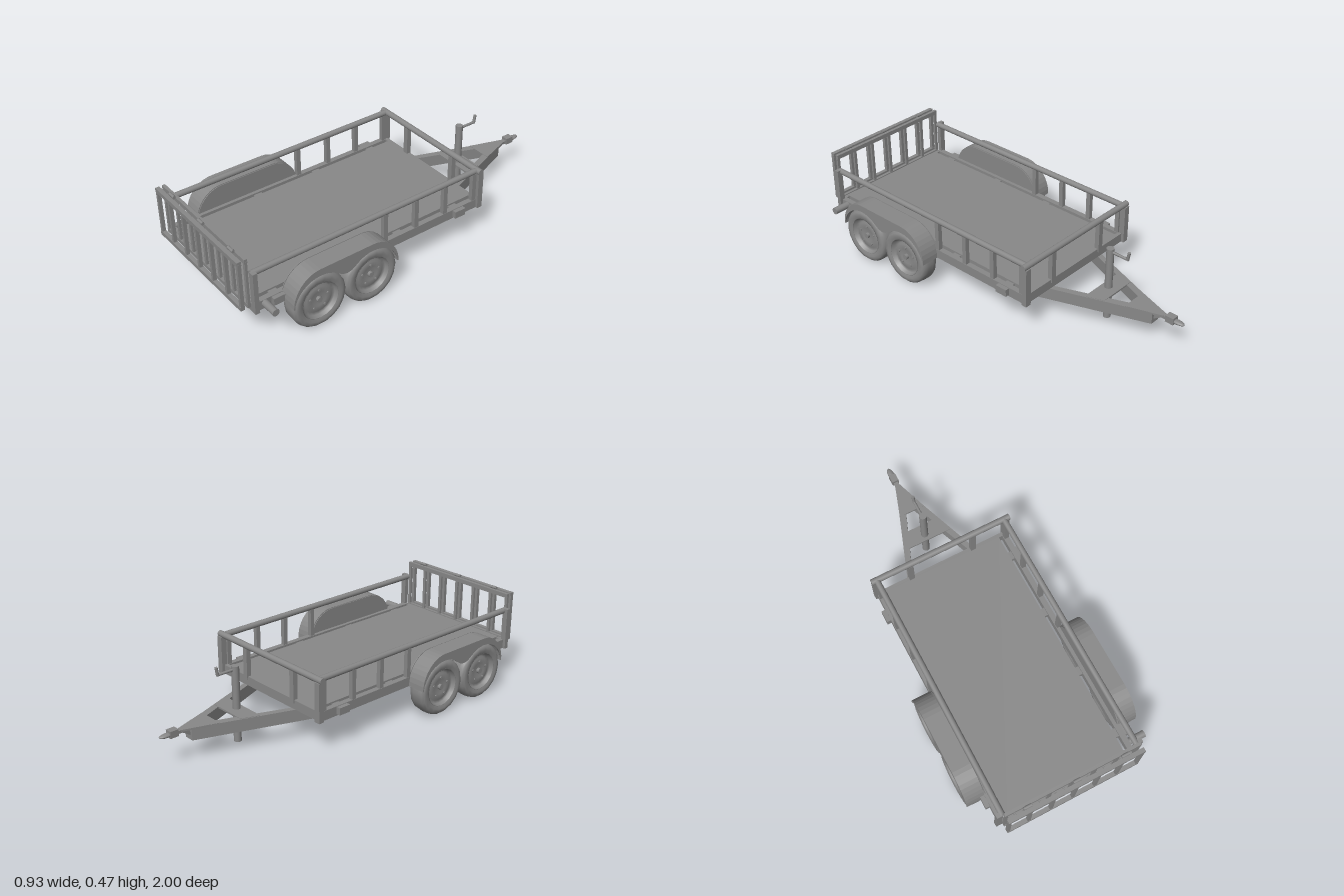
import * as THREE from 'three';

const color = 0x888888;
const smooth = new THREE.MeshStandardMaterial({ color });
const flat = new THREE.MeshStandardMaterial({ color, flatShading: true });
const open = new THREE.MeshStandardMaterial({ color, side: THREE.DoubleSide });

function add(parent, name, geo, m = flat) {
  const mesh = new THREE.Mesh(geo, m);
  mesh.name = name;
  parent.add(mesh);
  return mesh;
}

// box given by its limits on each axis
function box(parent, name, x0, x1, y0, y1, z0, z1) {
  const g = new THREE.BoxGeometry(Math.abs(x1 - x0), y1 - y0, z1 - z0);
  g.translate((x0 + x1) / 2, (y0 + y1) / 2, (z0 + z1) / 2);
  return add(parent, name, g);
}

// round bar between two points
function rod(parent, name, a, b, r, sides = 12) {
  const A = new THREE.Vector3(...a), B = new THREE.Vector3(...b);
  const g = new THREE.CylinderGeometry(r, r, A.distanceTo(B), sides);
  const mesh = add(parent, name, g, smooth);
  mesh.position.copy(A).add(B).multiplyScalar(0.5);
  mesh.quaternion.setFromUnitVectors(new THREE.Vector3(0, 1, 0), B.sub(A).normalize());
  return mesh;
}

// extrusion of a plan outline of [x, z] points between two heights
function plan(parent, name, pts, y0, y1) {
  const s = new THREE.Shape(pts.map(([x, z]) => new THREE.Vector2(x, -z)));
  const g = new THREE.ExtrudeGeometry(s, { depth: y1 - y0, bevelEnabled: false });
  g.rotateX(-Math.PI / 2).translate(0, y0, 0);
  return add(parent, name, g);
}

// extrusion of a side outline of [z, y] points between two x values
function side(parent, name, pts, xa, xb) {
  const s = new THREE.Shape(pts.map(([z, y]) => new THREE.Vector2(-z, y)));
  const g = new THREE.ExtrudeGeometry(s, { depth: Math.abs(xb - xa), bevelEnabled: false });
  g.rotateY(Math.PI / 2).translate(Math.min(xa, xb), 0, 0);
  return add(parent, name, g);
}

// lathe turned so that its axis lies along x
function turned(parent, name, pts, sides) {
  const g = new THREE.LatheGeometry(pts.map(p => new THREE.Vector2(...p)), sides);
  g.rotateZ(-Math.PI / 2);
  return add(parent, name, g, open);
}

function makeWheel() {
  const w = new THREE.Group();
  w.name = 'wheel';
  turned(w, 'tire', [[0.098, -0.043], [0.115, -0.049], [0.132, -0.047], [0.143, -0.036], [0.146, -0.015],
    [0.146, 0.015], [0.143, 0.036], [0.132, 0.047], [0.115, 0.049], [0.098, 0.043]], 18);
  turned(w, 'rim', [[0, -0.03], [0.088, -0.03], [0.098, -0.043], [0.102, -0.043], [0.102, 0.043], [0.096, 0.044],
    [0.09, 0.026], [0.076, 0.022], [0.068, 0.03], [0.04, 0.03], [0.034, 0.025], [0, 0.025]], 20);
  rod(w, 'hub', [-0.05, 0, 0], [0.04, 0, 0], 0.014);
  for (let i = 0; i < 5; i++) {
    const a = i / 5 * Math.PI * 2, y = Math.cos(a) * 0.05, z = Math.sin(a) * 0.05;
    rod(w, 'lugNut', [0.025, y, z], [0.036, y, z], 0.006, 6);
  }
  return w;
}

// rounded outline over both wheels, as [z, y]
const MID = 0.505, AXLE = 0.145;
function arch(rx, ry) {
  const pts = [];
  for (const s of [-1, 1])
    for (let i = 0; i <= 10; i++) {
      const a = (s < 0 ? Math.PI : Math.PI / 2) - i / 10 * Math.PI / 2;
      pts.push([MID + s * AXLE + Math.cos(a) * rx, 0.17 + Math.sin(a) * ry]);
    }
  return pts;
}

// outer skirt with a cut-out round each tire
function skirt() {
  const pts = arch(0.148, 0.16), right = [];
  for (let i = 0; i <= 12; i++) {
    const a = (10 + i * 10) * Math.PI / 180;
    right.push([AXLE + Math.cos(a) * 0.146, 0.148 + Math.sin(a) * 0.146]);
  }
  right.push([0.025, 0.243]);
  const left = right.map(([z, y]) => [-z, y]).reverse();
  return pts.concat([...right, [0, 0.238], ...left].map(([z, y]) => [z + MID, y]));
}

export function createModel() {
  const root = new THREE.Group();
  root.name = 'utilityTrailer';

  // bed
  box(root, 'deck', -0.322, 0.322, 0.17, 0.218, -0.35, 0.94);
  box(root, 'rearBeam', -0.385, 0.385, 0.17, 0.215, 0.925, 0.945);
  box(root, 'frontBeam', -0.37, 0.37, 0.17, 0.218, -0.37, -0.35);
  rod(root, 'frontRail', [-0.385, 0.378, -0.365], [0.385, 0.378, -0.365], 0.016);
  for (const x of [-0.175, 0.175]) box(root, 'frontPost', x - 0.014, x + 0.014, 0.2, 0.37, -0.375, -0.35);

  for (const s of [-1, 1]) {
    // side frame, rail and posts
    box(root, 'sideFrame', s * 0.342, s * 0.37, 0.17, 0.218, -0.36, 0.94);
    rod(root, 'sideRail', [s * 0.355, 0.378, -0.36], [s * 0.355, 0.378, 0.94], 0.015);
    box(root, 'rearCornerPost', s * 0.355, s * 0.385, 0.17, 0.39, 0.922, 0.945);
    box(root, 'frontCornerPost', s * 0.35, s * 0.382, 0.17, 0.37, -0.385, -0.355);
    for (const z of [-0.34, -0.155, 0.025, 0.21])
      box(root, 'sidePost', s * 0.345, s * 0.368, 0.2, 0.37, z - 0.012, z + 0.012);
    for (const z of [-0.235, 0.115, 0.465, 0.82])
      box(root, 'deckTab', s * 0.315, s * 0.345, 0.185, 0.21, z - 0.022, z + 0.022);
    for (const z of [-0.235, 0.82])
      box(root, 'stakePocket', s * 0.368, s * 0.392, 0.178, 0.215, z - 0.032, z + 0.032);

    // fender
    const fender = new THREE.Group();
    fender.name = 'fender';
    root.add(fender);
    side(fender, 'fenderTop', arch(0.148, 0.16).concat(arch(0.142, 0.153).reverse()), s * 0.368, s * 0.465);
    side(fender, 'fenderSkirt', skirt(), s * 0.459, s * 0.465);
    side(fender, 'fenderInnerPanel', arch(0.147, 0.159), s * 0.36, s * 0.364);

    // tandem wheels
    for (const d of [-AXLE, AXLE]) {
      const wheel = makeWheel();
      wheel.position.set(s * 0.412, 0.146, MID + d);
      if (s < 0) wheel.rotation.y = Math.PI;
      root.add(wheel);
    }

    // tongue beam
    plan(root, 'tongueBeam', [[s * 0.265, -0.18], [s * 0.24, -0.18], [0, -0.8], [0, -0.84], [s * 0.026, -0.84]], 0.107, 0.17);
  }

  // round lamp at the rear corner
  rod(root, 'lamp', [0.368, 0.199, 0.885], [0.457, 0.199, 0.885], 0.018, 16);

  // folding gate made of two barred frames
  for (const [z0, z1] of [[0.948, 0.964], [0.978, 1.0]]) {
    const gate = new THREE.Group();
    gate.name = 'gateFrame';
    root.add(gate);
    box(gate, 'gateTopRail', -0.355, 0.355, 0.44, 0.462, z0, z1);
    box(gate, 'gateBottomRail', -0.355, 0.355, 0.197, 0.218, z0, z1);
    for (const x of [-0.348, -0.239, -0.12, -0.002, 0.117, 0.236, 0.348])
      box(gate, 'gateBar', x - 0.008, x + 0.008, 0.21, 0.45, z0 + 0.002, z1 - 0.002);
  }
  for (const x of [-0.245, 0.01, 0.262])
    rod(root, 'gateHinge', [x - 0.02, 0.467, 0.971], [x + 0.02, 0.467, 0.971], 0.008);

  // tongue plates and coupler
  plan(root, 'tongueNosePlate', [[-0.07, -0.715], [0.07, -0.715], [0.012, -0.89], [-0.012, -0.89]], 0.163, 0.172);
  plan(root, 'jackPlate', [[-0.135, -0.53], [0.135, -0.53], [0.1, -0.62], [-0.1, -0.62]], 0.163, 0.172);
  side(root, 'couplerNeck', [[-0.82, 0.13], [-0.82, 0.171], [-0.96, 0.171], [-0.96, 0.158], [-0.88, 0.156], [-0.84, 0.13]], -0.012, 0.012);
  box(root, 'couplerLatch', -0.018, 0.018, 0.15, 0.185, -0.95, -0.905);
  const nose = add(root, 'couplerNose', new THREE.SphereGeometry(1, 14, 10), smooth);
  nose.scale.set(0.017, 0.01, 0.04);
  nose.position.set(0, 0.165, -0.96);

  // jack with crank
  rod(root, 'jackLeg', [0, 0, -0.565], [0, 0.39, -0.565], 0.019, 16);
  rod(root, 'crankArm', [0, 0.372, -0.565], [0, 0.372, -0.67], 0.007, 8);
  rod(root, 'crankHandle', [0, 0.368, -0.665], [0, 0.412, -0.673], 0.008, 8);

  return root;
}
